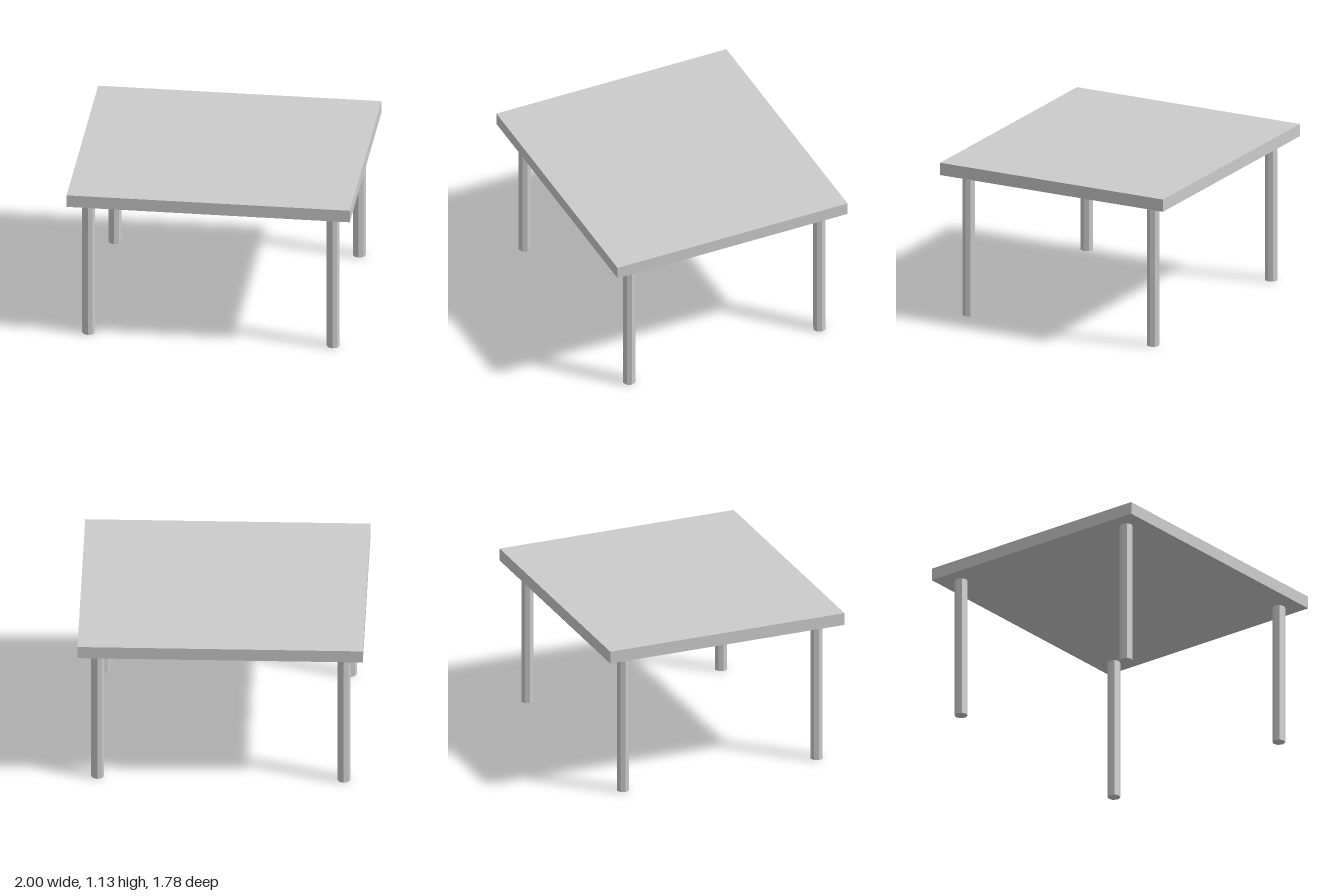
import * as THREE from 'three';

export function createModel() {
  const table = new THREE.Group();
  table.name = 'table';
  const material = new THREE.MeshStandardMaterial({ color: 0xcccccc, flatShading: true });

  const legHeight = 1.04, legRadius = 0.046, topThickness = 0.09;

  // Flat slab top
  const top = new THREE.Mesh(new THREE.BoxGeometry(2, topThickness, 1.78), material);
  top.name = 'tableTop';
  top.position.y = legHeight + topThickness / 2;
  table.add(top);

  // Four eight-sided legs, inset from the corners
  const legGeometry = new THREE.CylinderGeometry(legRadius, legRadius, legHeight, 8);
  for (const [zName, z] of [['front', 1], ['back', -1]]) {
    for (const [xName, x] of [['Left', 1], ['Right', -1]]) {
      const leg = new THREE.Mesh(legGeometry, material);
      leg.name = `${zName}${xName}Leg`;
      leg.position.set(x * 0.863, legHeight / 2, z * 0.736);
      table.add(leg);
    }
  }
  return table;
}
